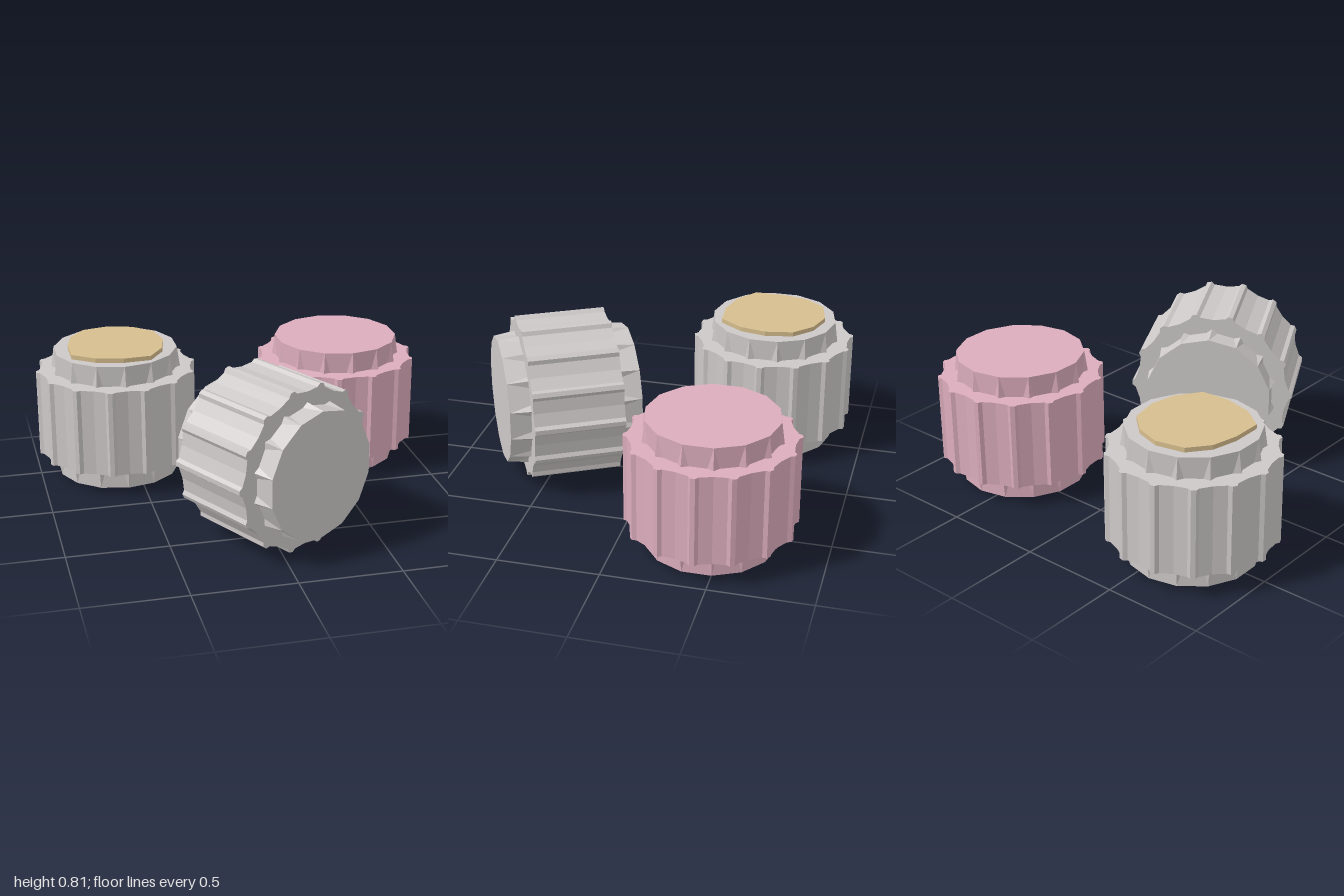
import * as THREE from 'three';

const FLUTES = 14;
const STEP = (Math.PI * 2) / FLUTES;
const DEG = Math.PI / 180;
const BODY_HALF = 0.226; // half length of the fluted body
const FULL_HALF = 0.332; // half length including both necks

const makeMaterial = (name, color) => {
  const m = new THREE.MeshStandardMaterial({ color });
  m.name = name;
  return m;
};

// Fluted body: narrow ridges with shallow hollows between them
function bodyGeometry() {
  const profile = [[-3.6, 0.398], [-1.6, 0.415], [1.6, 0.415], [3.6, 0.398], [STEP / 2 / DEG, 0.386]];
  const points = [];
  for (let i = 0; i < FLUTES; i++) {
    for (const [deg, r] of profile) {
      const a = i * STEP + deg * DEG;
      points.push(new THREE.Vector2(r * Math.cos(a), r * Math.sin(a)));
    }
  }
  const geo = new THREE.ExtrudeGeometry(new THREE.Shape(points), { depth: BODY_HALF * 2, bevelEnabled: false });
  geo.translate(0, 0, -BODY_HALF);
  geo.rotateX(-Math.PI / 2);
  return geo;
}

// Neck: a 14-sided end with a small flared spur under each corner
function neckGeometry() {
  const verts = [];
  const at = (a, r, y) => [r * Math.cos(a), y, -r * Math.sin(a)];
  const tri = (...pts) => pts.forEach((p) => verts.push(...p));
  const spread = 5 * DEG;
  for (let i = 0; i < FLUTES; i++) {
    const a = (i + 0.5) * STEP, b = a + STEP;
    const topA = at(a, 0.32, FULL_HALF), topB = at(b, 0.32, FULL_HALF);
    const spurA = at(a, 0.335, BODY_HALF), spurB = at(b, 0.335, BODY_HALF);
    const footA = at(a + spread, 0.314, BODY_HALF), footB = at(b - spread, 0.314, BODY_HALF);
    tri(topA, spurA, footA);
    tri(topA, footA, footB);
    tri(topA, footB, topB);
    tri(topB, footB, spurB);
    tri([0, FULL_HALF, 0], topA, topB);
  }
  const geo = new THREE.BufferGeometry();
  geo.setAttribute('position', new THREE.Float32BufferAttribute(verts, 3));
  geo.computeVertexNormals();
  return geo;
}

export function createModel() {
  const grey = makeMaterial('warm grey', 0xcdc8c8);
  const pink = makeMaterial('dusty pink', 0xdcadbd);
  const tan = makeMaterial('tan', 0xd6be8e);
  const body = bodyGeometry();
  const neck = neckGeometry();

  const model = new THREE.Group();
  model.name = 'flutedBarrels';

  const addBarrel = (name, material, x, y, z) => {
    const barrel = new THREE.Group();
    barrel.name = name;
    barrel.position.set(x, y, z);
    const add = (geo, part) => {
      const mesh = new THREE.Mesh(geo, material);
      mesh.name = part;
      barrel.add(mesh);
      return mesh;
    };
    add(body, 'flutedBody');
    add(neck, 'upperNeck');
    add(neck, 'lowerNeck').rotation.x = Math.PI;
    model.add(barrel);
    return barrel;
  };

  // Two upright barrels and one lying on its side
  const greyBarrel = addBarrel('greyBarrel', grey, -0.585, 0.344, -0.505);
  addBarrel('pinkBarrel', pink, 0.583, 0.344, -0.432);
  const lying = addBarrel('lyingBarrel', grey, 0.017, 0.41, 0.46);
  lying.rotation.set(Math.PI / 2, 28.3 * DEG, 0, 'YXZ');

  // Irregular slab on top of the grey barrel (x, z relative to its axis)
  const outline = [
    [0.005, -0.265], [0.13, -0.225], [0.225, -0.135], [0.252, 0.005], [0.225, 0.135], [0.145, 0.25],
    [0.005, 0.26], [-0.135, 0.225], [-0.245, 0.145], [-0.245, -0.005], [-0.215, -0.135], [-0.135, -0.235],
  ];
  const shape = new THREE.Shape(outline.map(([x, z]) => new THREE.Vector2(x, -z)));
  const slabGeo = new THREE.ExtrudeGeometry(shape, { depth: 0.023, bevelEnabled: false });
  slabGeo.rotateX(-Math.PI / 2);
  const slab = new THREE.Mesh(slabGeo, tan);
  slab.name = 'topSlab';
  slab.position.y = FULL_HALF;
  greyBarrel.add(slab);

  return model;
}
